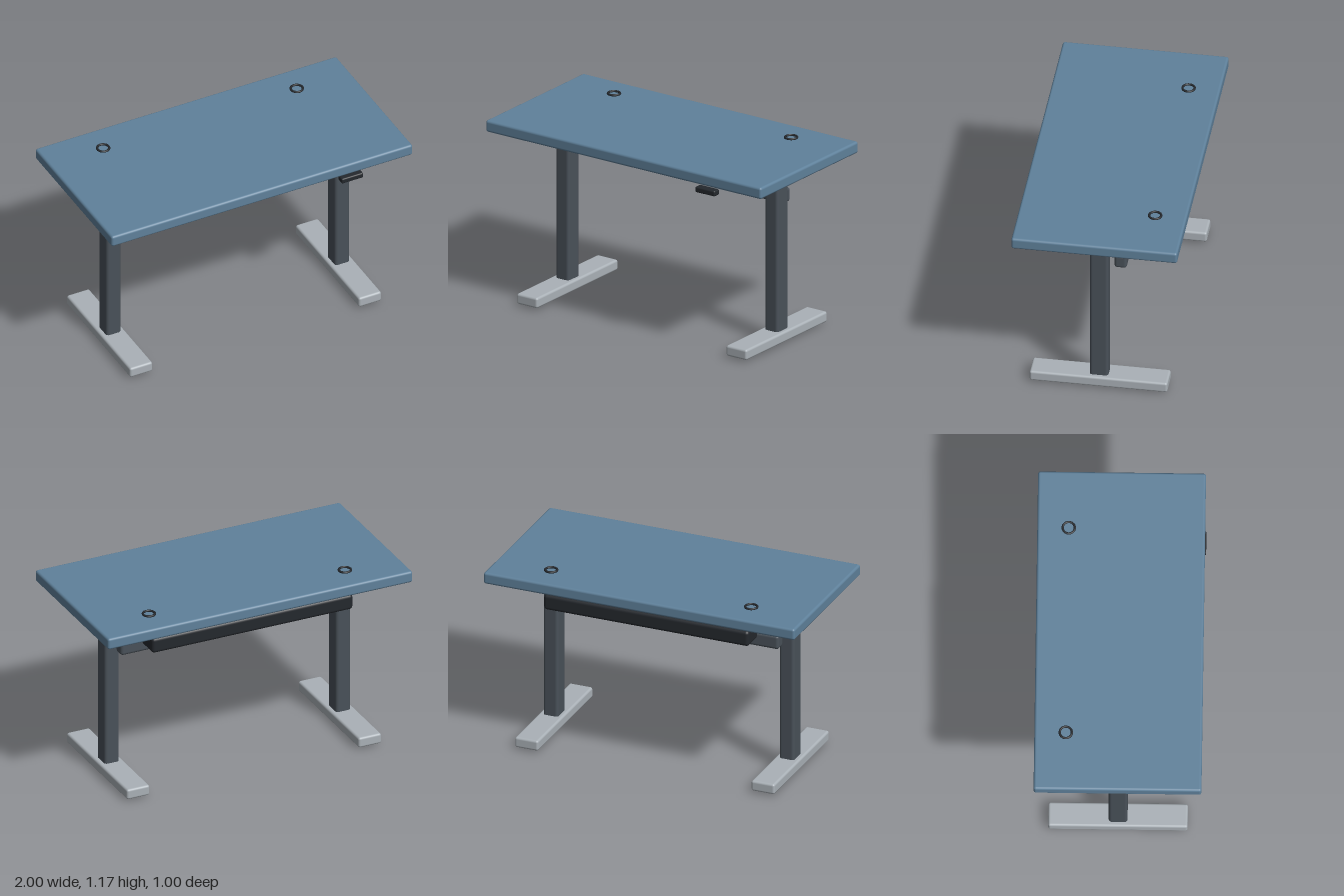
import * as THREE from 'three';
import { RoundedBoxGeometry } from 'three/addons/geometries/RoundedBoxGeometry.js';

const mat = (color) => new THREE.MeshStandardMaterial({ color });

// Rounded box given by its [min, max] range on each axis
function block(name, [x0, x1], [y0, y1], [z0, z1], radius, material) {
  const geometry = new RoundedBoxGeometry(x1 - x0, y1 - y0, z1 - z0, 3, radius);
  const mesh = new THREE.Mesh(geometry, material);
  mesh.name = name;
  mesh.position.set((x0 + x1) / 2, (y0 + y1) / 2, (z0 + z1) / 2);
  return mesh;
}

export function createModel() {
  const desk = new THREE.Group();
  desk.name = 'standingDesk';
  const blue = mat(0x5f819b);
  const steel = mat(0x495159);
  const black = mat(0x24282d);
  const silver = mat(0xaab1b7);

  desk.add(block('tabletop', [-1, 1], [1.085, 1.158], [-0.498, 0.494], 0.015, blue));

  // Left and right supports with their cable grommets
  for (const [side, label] of [[1, 'left'], [-1, 'right']]) {
    const span = (a, b) => (side > 0 ? [a, b] : [-b, -a]);
    const support = new THREE.Group();
    support.name = label + 'Support';
    support.add(
      block('mountingPlate', span(0.64, 0.88), [1.04, 1.077], [-0.349, 0.345], 0.006, blue),
      block('leg', span(0.711, 0.807), [0, 1.043], [-0.057, 0.055], 0.018, steel),
      block('foot', span(0.685, 0.835), [0.012, 0.078], [-0.414, 0.41], 0.014, silver)
    );
    desk.add(support);

    const grommet = new THREE.Mesh(new THREE.TorusGeometry(0.036, 0.007, 10, 36), black);
    grommet.name = label + 'Grommet';
    grommet.rotation.x = Math.PI / 2;
    grommet.position.set(side * 0.643, 1.163, -0.312);
    desk.add(grommet);
  }

  // Rear beam, cable tray and height control
  desk.add(
    block('crossbar', [-0.75, 0.75], [0.83, 0.92], [-0.158, -0.083], 0.018, steel),
    block('cableTray', [-0.659, 0.659], [0.935, 1.033], [-0.395, -0.244], 0.02, black),
    block('heightControl', [0.525, 0.668], [1.035, 1.07], [0.449, 0.501], 0.009, black)
  );
  return desk;
}
